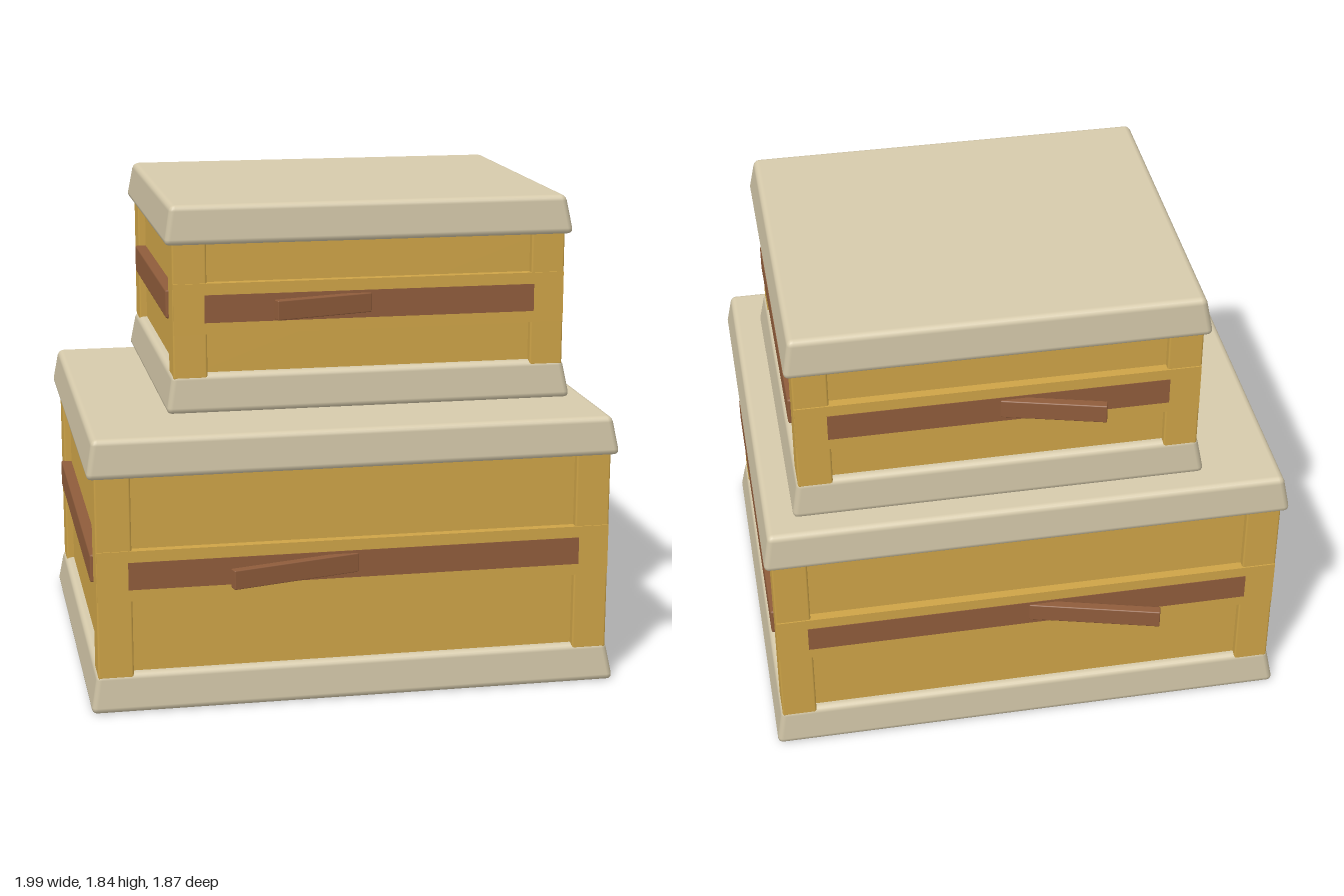
import * as THREE from 'three';
import { RoundedBoxGeometry } from 'three/addons/geometries/RoundedBoxGeometry.js';

const material = (name, color) => {
  const m = new THREE.MeshStandardMaterial({ color });
  m.name = name;
  return m;
};

export function createModel() {
  const cream = material('cream board', 0xd6caab);
  const ochre = material('ochre wood', 0xcda347);
  const brown = material('brown strap', 0x8f5c3b);

  const add = (group, name, geometry, mat, x, y, z) => {
    const mesh = new THREE.Mesh(geometry, mat);
    mesh.name = name;
    mesh.position.set(x, y, z);
    group.add(mesh);
    return mesh;
  };

  // Rounded board whose sides lean inwards towards the top
  function boardGeometry(w, h, d) {
    const g = new RoundedBoxGeometry(w, h, d, 2, 0.022);
    const p = g.attributes.position;
    for (let i = 0; i < p.count; i++) {
      const inset = 0.026 * (p.getY(i) / h + 0.5);
      p.setX(i, p.getX(i) - Math.sign(p.getX(i)) * inset);
      p.setZ(i, p.getZ(i) - Math.sign(p.getZ(i)) * inset);
    }
    return g;
  }

  // hx, hz: half size of the boards; h: full height; mid: height of the straps
  function crate(name, { hx, hz, h, mid, handle, postW }) {
    const g = new THREE.Group();
    g.name = name;
    const t = 0.145;
    const px = hx - 0.03, pz = hz - 0.025;

    // Base and lid
    add(g, 'base', boardGeometry(hx * 2, t, hz * 2), cream, 0, t / 2, 0);
    add(g, 'lid', boardGeometry(hx * 2, t, hz * 2), cream, 0, h - t / 2, 0);

    // Recessed walls
    const wallH = h - 2 * t + 0.04;
    add(g, 'walls', new THREE.BoxGeometry((px - 0.03) * 2, wallH, (pz - 0.03) * 2), ochre, 0, h / 2, 0);

    // Corner posts
    const post = new RoundedBoxGeometry(postW, wallH, postW, 1, 0.008);
    for (const sx of [-1, 1]) for (const sz of [-1, 1]) {
      add(g, 'cornerPost', post, ochre, sx * (px - postW / 2), h / 2, sz * (pz - postW / 2));
    }

    // Front and back: rail, strap and the slanted handle
    for (const s of [-1, 1]) {
      add(g, 'rail', new THREE.BoxGeometry(px * 2 - 0.006, 0.19, 0.05), ochre, 0, mid, s * (pz - 0.02));
      add(g, 'strap', new THREE.BoxGeometry((px - 0.118) * 2, 0.104, 0.008), brown, 0, mid, s * (pz + 0.003));
      const a = 0.262;
      const len = handle.len;
      const arm = add(g, 'handle', new RoundedBoxGeometry(len, 0.073, 0.035, 1, 0.004), brown,
        handle.x + Math.cos(a) * len / 2, mid + 0.005, s * (handle.z - Math.sin(a) * len / 2));
      arm.rotation.y = s * a;
    }

    // Side straps between the posts
    const strap = new RoundedBoxGeometry(0.06, 0.108, (hz - 0.137) * 2, 1, 0.008);
    for (const s of [-1, 1]) add(g, 'sideStrap', strap, brown, s * (px - 0.018), mid, 0);
    return g;
  }

  const model = new THREE.Group();
  model.name = 'stackedCrates';
  model.add(crate('lowerCrate', {
    hx: 1, hz: 0.82, h: 1.035, mid: 0.52, postW: 0.132, handle: { x: -0.485, z: 0.918, len: 0.5 },
  }));
  const upper = crate('upperCrate', {
    hx: 0.775, hz: 0.652, h: 0.775, mid: 0.39, postW: 0.128, handle: { x: -0.375, z: 0.722, len: 0.385 },
  });
  upper.position.set(0.1, 1.06, -0.082);
  model.add(upper);
  return model;
}
